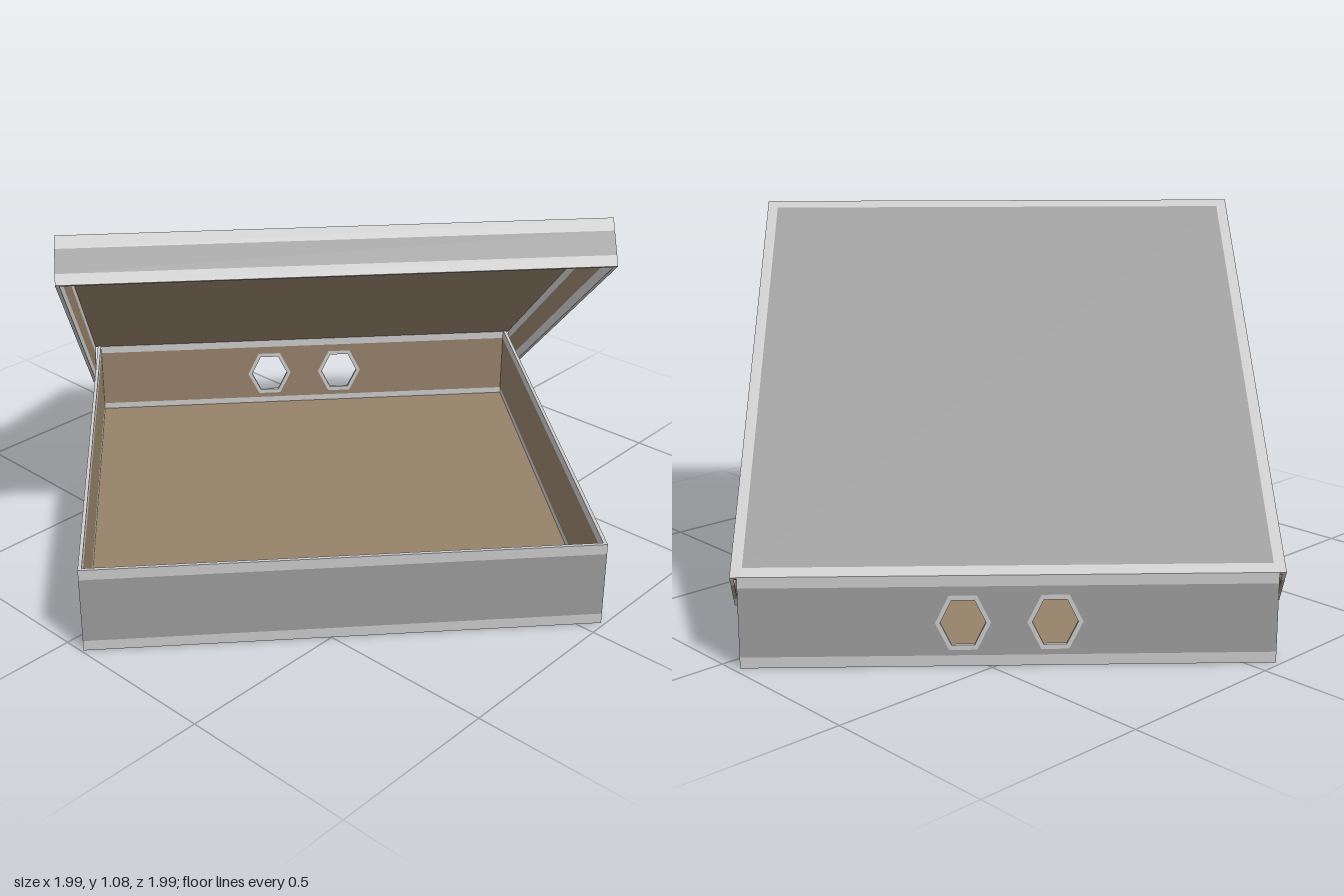
import * as THREE from 'three';

const SIDE = 1.4, HEIGHT = 0.25, BAND = 0.03, T = 0.01; // T = sheet thickness
const LID_W = 1.436, LID_L = 1.41, LID_H = 0.13;

const trim = new THREE.MeshStandardMaterial({ color: 0xcccccc });
const panel = new THREE.MeshStandardMaterial({ color: 0x9d9d9d });
const lining = new THREE.MeshStandardMaterial({ color: 0x96826a });

function box(parent, name, material, size, pos) {
  const mesh = new THREE.Mesh(new THREE.BoxGeometry(...size), material);
  mesh.name = name;
  mesh.position.set(...pos);
  parent.add(mesh);
}

function plate(parent, name, material, shape, depth, z) {
  const mesh = new THREE.Mesh(
    new THREE.ExtrudeGeometry(shape, { depth, bevelEnabled: false }), material);
  mesh.name = name;
  mesh.position.z = z;
  parent.add(mesh);
}

// Six-sided outline with flat top and bottom
function hexagon(PathType, x, y, rx, h) {
  const pts = [[1, 0], [0.5, 1], [-0.5, 1], [-1, 0], [-0.5, -1], [0.5, -1]];
  return new PathType(pts.map(([a, b]) => new THREE.Vector2(x + a * rx, y + b * h)));
}

// Upright wall facing +z: outer panel, inner lining, trim along both long edges
function wall(name, length, height, holes = []) {
  const g = new THREE.Group();
  g.name = name;
  const x = length / 2, top = height - BAND;
  const shape = new THREE.Shape([[-x, BAND], [x, BAND], [x, top], [-x, top]]
    .map((p) => new THREE.Vector2(...p)));
  for (const [hx, hy] of holes) {
    shape.holes.push(hexagon(THREE.Path, hx, hy, 0.073, 0.075));
    const ring = hexagon(THREE.Shape, hx, hy, 0.073, 0.075);
    ring.holes.push(hexagon(THREE.Path, hx, hy, 0.06, 0.062));
    plate(g, 'holeRim', trim, ring, T, -T);
  }
  plate(g, 'outerPanel', panel, shape, T / 2, -T / 2);
  plate(g, 'innerLining', lining, shape, T / 2, -T);
  for (const y of [BAND / 2, height - BAND / 2])
    box(g, 'edgeBand', trim, [length, BAND, T], [0, y, -T / 2]);
  return g;
}

function place(parent, part, x, y, z, turn) {
  part.position.set(x, y, z);
  part.rotation.y = turn;
  parent.add(part);
}

function makeTray() {
  const tray = new THREE.Group();
  tray.name = 'tray';
  const r = SIDE / 2, inner = SIDE - 2 * T;
  box(tray, 'floorUnderside', panel, [inner, T / 2, inner], [0, T / 4, 0]);
  box(tray, 'floorLining', lining, [inner, T / 2, inner], [0, T * 0.75, 0]);
  place(tray, wall('frontWall', SIDE, HEIGHT), 0, 0, r, 0);
  // The hinge wall has two six-sided openings
  place(tray, wall('hingeWall', SIDE, HEIGHT, [[-0.12, 0.12], [0.12, 0.12]]), 0, 0, -r, Math.PI);
  for (const s of [-1, 1])
    place(tray, wall('sideWall', inner, HEIGHT), s * r, 0, 0, s * Math.PI / 2);
  return tray;
}

// Lid with its hinge edge on the origin; open at the hinge end
function makeLid() {
  const lid = new THREE.Group();
  lid.name = 'lid';
  const mid = LID_L / 2, w = LID_W / 2, b = BAND;
  box(lid, 'topPanel', panel, [LID_W - 2 * b, T / 2, LID_L - 2 * b], [0, -T / 4, mid]);
  box(lid, 'topLining', lining, [LID_W - 2 * T, T / 2, LID_L - T], [0, -T * 0.75, mid - T / 2]);
  for (const s of [-1, 1]) {
    box(lid, 'topTrim', trim, [b, T / 2, LID_L], [s * (w - b / 2), -T / 4, mid]);
    box(lid, 'topTrim', trim, [LID_W - 2 * b, T / 2, b], [0, -T / 4, mid + s * (mid - b / 2)]);
    const side = wall('lidSide', LID_L - T, LID_H - T / 2);
    place(lid, side, s * w, -LID_H, mid - T / 2, s * Math.PI / 2);
  }
  place(lid, wall('lidLip', LID_W, LID_H - T / 2), 0, -LID_H, LID_L, 0);
  return lid;
}

export function createModel() {
  const model = new THREE.Group();
  model.name = 'openBox';
  const body = new THREE.Group();
  body.name = 'body';
  body.rotation.y = -0.727;
  body.position.set(-0.006, 0, 0.002);
  const lid = makeLid();
  lid.position.set(0, HEIGHT, -SIDE / 2);
  lid.rotation.x = -Math.PI / 5;
  body.add(makeTray(), lid);
  model.add(body);
  return model;
}
